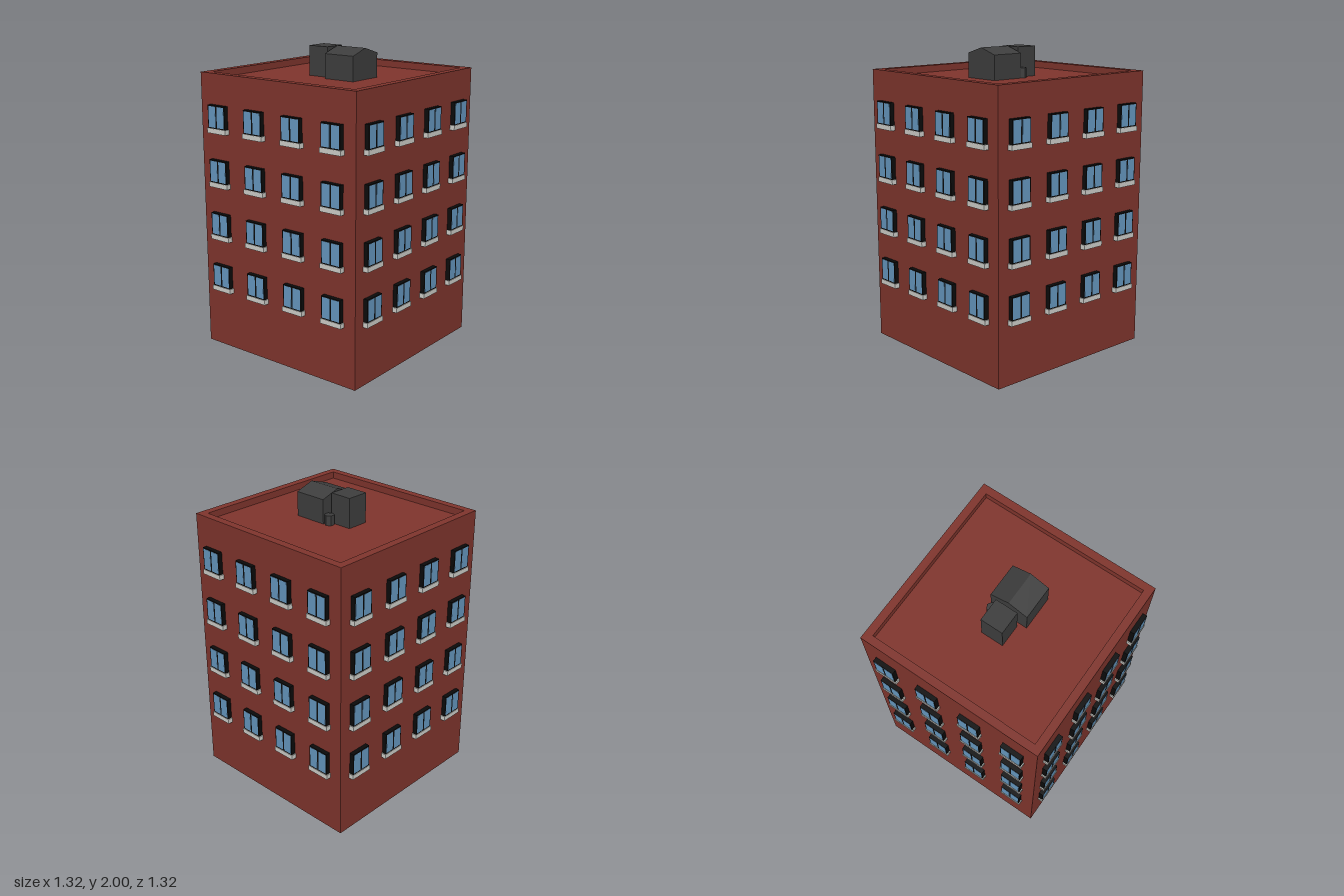
import * as THREE from 'three';

const mat = (name, color) => {
  const m = new THREE.MeshStandardMaterial({ color });
  m.name = name;
  return m;
};

export function createModel() {
  const brick = mat('brick red', 0x80352d);
  const black = mat('frame black', 0x0b0b0b);
  const glass = mat('window blue', 0x6698c0);
  const stone = mat('sill grey', 0xcfcfca);
  const dark = mat('roof unit grey', 0x3e3e3e);

  const model = new THREE.Group();
  model.name = 'apartmentBlock';

  const add = (parent, name, geometry, material, x = 0, y = 0, z = 0) => {
    const mesh = new THREE.Mesh(geometry, material);
    mesh.name = name;
    mesh.position.set(x, y, z);
    parent.add(mesh);
    return mesh;
  };

  const half = 0.625, inner = 0.573, roofY = 1.8, topY = 1.845;

  // Walls, with the sunken roof as their top face
  add(model, 'walls', new THREE.BoxGeometry(half * 2, roofY, half * 2), brick, 0, roofY / 2, 0);

  // Parapet ring around the roof
  const square = (Type, r) => new Type([[-r, -r], [r, -r], [r, r], [-r, r]].map(([x, y]) => new THREE.Vector2(x, y)));
  const ring = square(THREE.Shape, half);
  ring.holes.push(square(THREE.Path, inner));
  const parapet = new THREE.ExtrudeGeometry(ring, { depth: topY - roofY, bevelEnabled: false });
  parapet.rotateX(-Math.PI / 2);
  add(model, 'parapet', parapet, brick, 0, roofY, 0);

  // Window: projecting frame box, two thin panes, stone sill
  const frameGeo = new THREE.BoxGeometry(0.146, 0.15, 0.03);
  const paneGeo = new THREE.BoxGeometry(0.06, 0.136, 0.002);
  const sillGeo = new THREE.BoxGeometry(0.16, 0.032, 0.034);
  const makeWindow = (x, y) => {
    const w = new THREE.Group();
    w.name = 'window';
    w.position.set(x, y, half);
    add(w, 'frame', frameGeo, black, 0, 0.075, 0.015);
    for (const s of [-1, 1]) add(w, 'pane', paneGeo, glass, s * 0.036, 0.075, 0.03);
    add(w, 'sill', sillGeo, stone, 0, -0.016, 0.017);
    return w;
  };

  // Four floors of four windows, repeated on each side
  const sides = ['front', 'left', 'back', 'right'];
  sides.forEach((side, i) => {
    const wall = new THREE.Group();
    wall.name = side + 'Windows';
    wall.rotation.y = i * Math.PI / 2;
    for (let floor = 0; floor < 4; floor++) {
      for (let col = 0; col < 4; col++) {
        wall.add(makeWindow(-0.469 + col * 0.3095, 0.425 + floor * 0.357));
      }
    }
    model.add(wall);
  });

  // Roof units: plain box, gabled box and a short six-sided pipe
  add(model, 'roofBox', new THREE.BoxGeometry(0.152, 0.196, 0.15), dark, -0.104, roofY + 0.098, 0);

  const gable = new THREE.Shape([[-0.128, 0], [0.128, 0], [0.128, 0.16], [0, 0.2], [-0.128, 0.16]]
    .map(([x, y]) => new THREE.Vector2(x, y)));
  const hut = new THREE.ExtrudeGeometry(gable, { depth: 0.226, bevelEnabled: false });
  hut.rotateY(Math.PI / 2);
  add(model, 'gabledUnit', hut, dark, -0.007, roofY, 0);

  const pipe = new THREE.CylinderGeometry(0.032, 0.032, 0.065, 6).toNonIndexed();
  pipe.computeVertexNormals();
  add(model, 'ventPipe', pipe, dark, -0.037, roofY + 0.0325, -0.103);

  return model;
}
